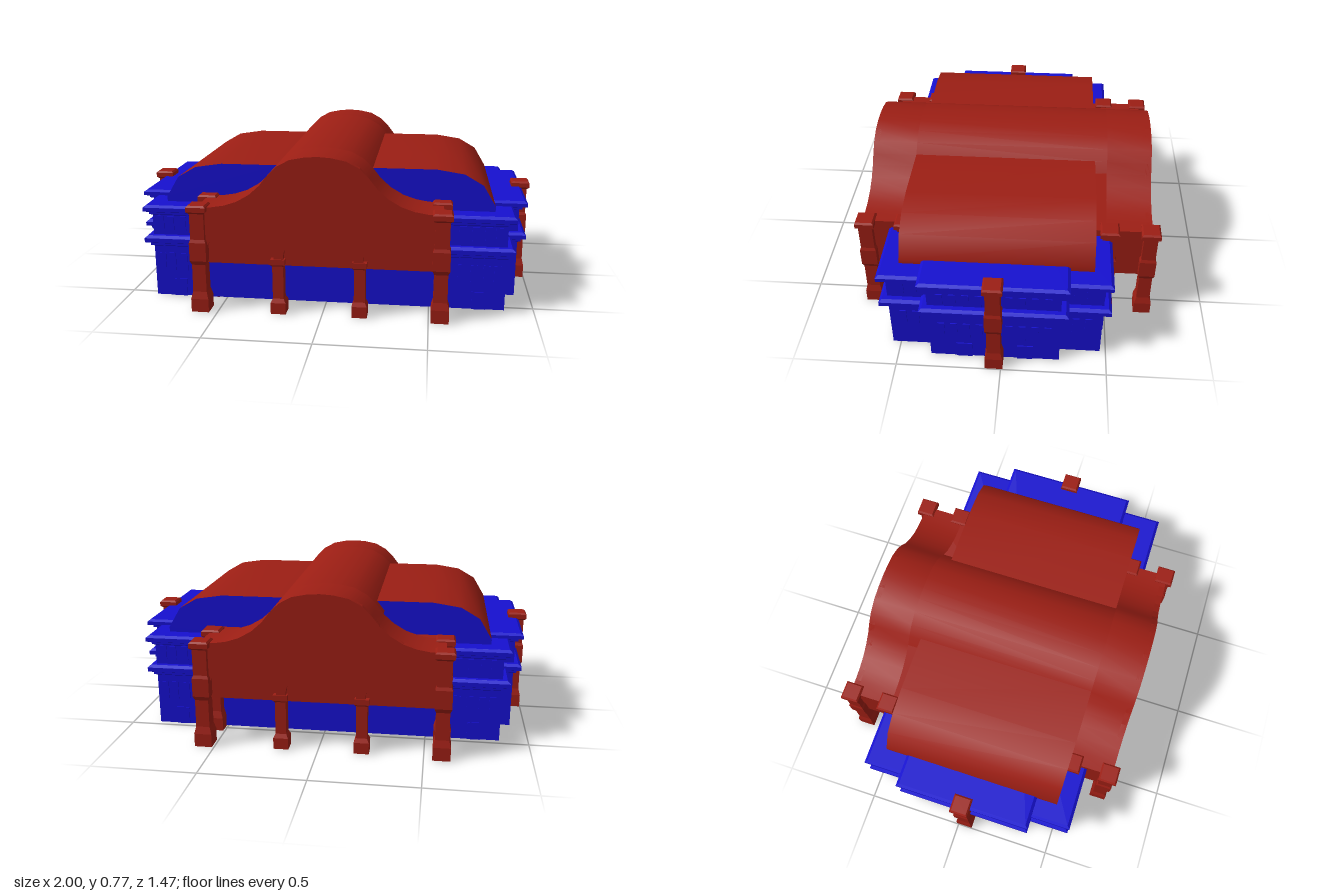
import * as THREE from 'three';
import { toCreasedNormals } from 'three/addons/utils/BufferGeometryUtils.js';

const red = new THREE.MeshStandardMaterial({ color: 0x9c1e14 });
const redFlat = new THREE.MeshStandardMaterial({ color: 0x9c1e14, flatShading: true });
const redThin = new THREE.MeshStandardMaterial({ color: 0x9c1e14, side: THREE.DoubleSide });
const blue = new THREE.MeshStandardMaterial({ color: 0x1610d0 });
const blueFlat = new THREE.MeshStandardMaterial({ color: 0x1610d0, flatShading: true });

const CX = -0.015; // centre line of the hall
const CZ = 0.033;  // centre line of the wings

export function createModel() {
  const root = new THREE.Group();
  const add = (name, geo, mat, x = 0, y = 0, z = 0, parent = root) => {
    const m = new THREE.Mesh(geo, mat);
    m.name = name;
    m.position.set(x, y, z);
    parent.add(m);
    return m;
  };
  // box given by its limits
  const box = (name, mat, x0, x1, y0, y1, z0, z1) =>
    add(name, new THREE.BoxGeometry(x1 - x0, y1 - y0, z1 - z0), mat,
      (x0 + x1) / 2, (y0 + y1) / 2, (z0 + z1) / 2);

  // square turned part: profile of [halfWidth, height]
  const square = (profile) => new THREE.LatheGeometry(
    profile.map(([w, y]) => new THREE.Vector2(w * Math.SQRT2, y)), 4, Math.PI / 4);

  // ---- Wings: body, projecting bay, moulded cornices ----
  box('wingBody', blue, -0.86, 0.86, 0.002, 0.43, CZ - 0.505, CZ + 0.505);
  box('centreBay', blue, -0.925, 0.925, 0.002, 0.46, CZ - 0.308, CZ + 0.308);
  box('floor', red, -0.68, 0.68, 0, 0.004, CZ - 0.34, CZ + 0.34);

  // cornice: stacked square section stretched to the wall size
  const cornice = (name, hx, hz, y, h) => {
    const steps = [[0, 0], [0.014, 0.12], [0.014, 0.3], [0.036, 0.45], [0.036, 0.8], [0.022, 1]];
    const g = new THREE.BufferGeometry();
    const pos = [], idx = [];
    steps.forEach(([o, t]) => {
      const a = hx + o, b = hz + o;
      pos.push(-a, t * h, b, a, t * h, b, a, t * h, -b, -a, t * h, -b);
    });
    for (let i = 0; i < steps.length - 1; i++) for (let j = 0; j < 4; j++) {
      const p = i * 4 + j, q = i * 4 + (j + 1) % 4;
      idx.push(p, q, q + 4, p, q + 4, p + 4);
    }
    const n = (steps.length - 1) * 4;
    idx.push(n, n + 1, n + 2, n, n + 2, n + 3, 0, 2, 1, 0, 3, 2);
    g.setAttribute('position', new THREE.Float32BufferAttribute(pos, 3));
    g.setIndex(idx);
    g.computeVertexNormals();
    add(name, g, blueFlat, 0, y, CZ);
  };
  cornice('wingLowerCornice', 0.86, 0.505, 0.26, 0.06);
  cornice('wingUpperCornice', 0.86, 0.505, 0.42, 0.055);
  cornice('bayLowerCornice', 0.925, 0.308, 0.285, 0.055);
  cornice('bayUpperCornice', 0.925, 0.308, 0.45, 0.05);

  // ---- Windows and doors, slightly proud of the walls ----
  const rows = [[0.135, 0.225], [0.345, 0.415]];
  for (const s of [-1, 1]) {
    for (const e of [-1, 1]) {
      const zf = CZ + e * 0.505;
      for (const [y0, y1] of rows) {
        for (const x of [0.65, 0.71, 0.77, 0.82])
          box('wingWindow', blue, s * x - 0.016, s * x + 0.016, y0, y1, zf - 0.005, zf + 0.005);
        for (const d of [0.07, 0.13, 0.19, 0.25])
          box('bayWindow', blue, s * 0.925 - 0.005, s * 0.925 + 0.005, y0, y1,
            CZ + e * d - 0.016, CZ + e * d + 0.016);
        for (const d of [0.38, 0.44])
          box('endWindow', blue, s * 0.86 - 0.005, s * 0.86 + 0.005, y0, y1,
            CZ + e * d - 0.016, CZ + e * d + 0.016);
      }
      box('wingDoor', blue, s * 0.735 - 0.032, s * 0.735 + 0.032, 0.002, 0.09, zf - 0.005, zf + 0.005);
      box('bayDoor', blue, s * 0.925 - 0.005, s * 0.925 + 0.005, 0.002, 0.09,
        CZ + e * 0.145 - 0.038, CZ + e * 0.145 + 0.038);
    }
  }

  // ---- Side roofs: red shell with blue gable ends ----
  for (const s of [-1, 1]) {
    const pts = [[0.23, 0.47], [0.80, 0.47], [0.80, 0.5], [0.74, 0.6], [0.65, 0.652], [0.52, 0.672], [0.23, 0.672]];
    const shape = new THREE.Shape(pts.map(([x, y]) =>
      new THREE.Vector2(s * x + (x < 0.3 ? CX : 0), y)));
    const g = new THREE.ExtrudeGeometry(shape, { depth: 0.9, bevelEnabled: false });
    add(s > 0 ? 'leftRoof' : 'rightRoof', toCreasedNormals(g, 0.6), [blue, red], 0, 0, -0.42);
  }

  // ---- Central vault ----
  const half = [[0, 0.766], [0.06, 0.762], [0.13, 0.748], [0.19, 0.715], [0.235, 0.67], [0.27, 0.625],
    [0.32, 0.58], [0.38, 0.545], [0.44, 0.525], [0.5, 0.515], [0.572, 0.513]];
  const full = [...half.slice(1).reverse().map(([x, y]) => [-x, y]), ...half];
  const ribbon = (name, prof, z0, z1) => {
    const pos = [], idx = [];
    prof.forEach(([x, y]) => pos.push(x, y, z0, x, y, z1));
    for (let i = 0; i < prof.length - 1; i++) {
      const a = i * 2;
      idx.push(a, a + 1, a + 2, a + 1, a + 3, a + 2);
    }
    const g = new THREE.BufferGeometry();
    g.setAttribute('position', new THREE.Float32BufferAttribute(pos, 3));
    g.setIndex(idx);
    g.computeVertexNormals();
    add(name, g, redThin, CX);
  };
  ribbon('frontVault', full, 0.48, 0.7);
  ribbon('backVault', full, -0.7, -0.48);
  ribbon('middleVault', full.filter(([x]) => Math.abs(x) < 0.28), -0.48, 0.48);

  // solid porch block under the vault
  box('porchBlock', red, CX - 0.57, CX + 0.57, 0.235, 0.512, -0.675, 0.675);

  // gable plate with three shallow arches along its lower edge
  const gable = new THREE.Shape();
  gable.moveTo(-0.572, 0.235);
  for (const c of [-0.375, 0, 0.375]) {
    gable.lineTo(c - 0.165, 0.235);
    gable.lineTo(c - 0.165, 0.285);
    gable.absellipse(c, 0.285, 0.165, 0.11, Math.PI, 0, true);
    gable.lineTo(c + 0.165, 0.235);
  }
  gable.lineTo(0.572, 0.235);
  [...full].reverse().forEach(([x, y]) => gable.lineTo(x, y));
  const gableGeo = new THREE.ExtrudeGeometry(gable, { depth: 0.03, bevelEnabled: false, curveSegments: 12 });
  add('frontGable', gableGeo, red, CX, 0, 0.67);
  add('backGable', gableGeo, red, CX, 0, -0.7);

  // ---- Pillars ----
  const pillar = square([[0, 0], [0.042, 0], [0.042, 0.065], [0.033, 0.1], [0.032, 0.235], [0.04, 0.255],
    [0.04, 0.345], [0.034, 0.36], [0.034, 0.485], [0.046, 0.495], [0.046, 0.518], [0.038, 0.526], [0, 0.526]]);
  const post = square([[0, 0], [0.036, 0], [0.036, 0.055], [0.026, 0.075], [0.026, 0.235],
    [0.034, 0.245], [0.034, 0.272], [0, 0.272]]);
  for (const s of [-1, 1]) {
    for (const z of [-0.69, -0.495, 0.495, 0.685])
      add('cornerPillar', pillar, redFlat, CX + s * 0.567, 0, z);
    add('sidePillar', pillar, redFlat, s * 0.955, 0, CZ);
    for (const z of [-0.672, 0.672])
      add('archPost', post, redFlat, CX + s * 0.1925, 0, z);
  }
  return root;
}
